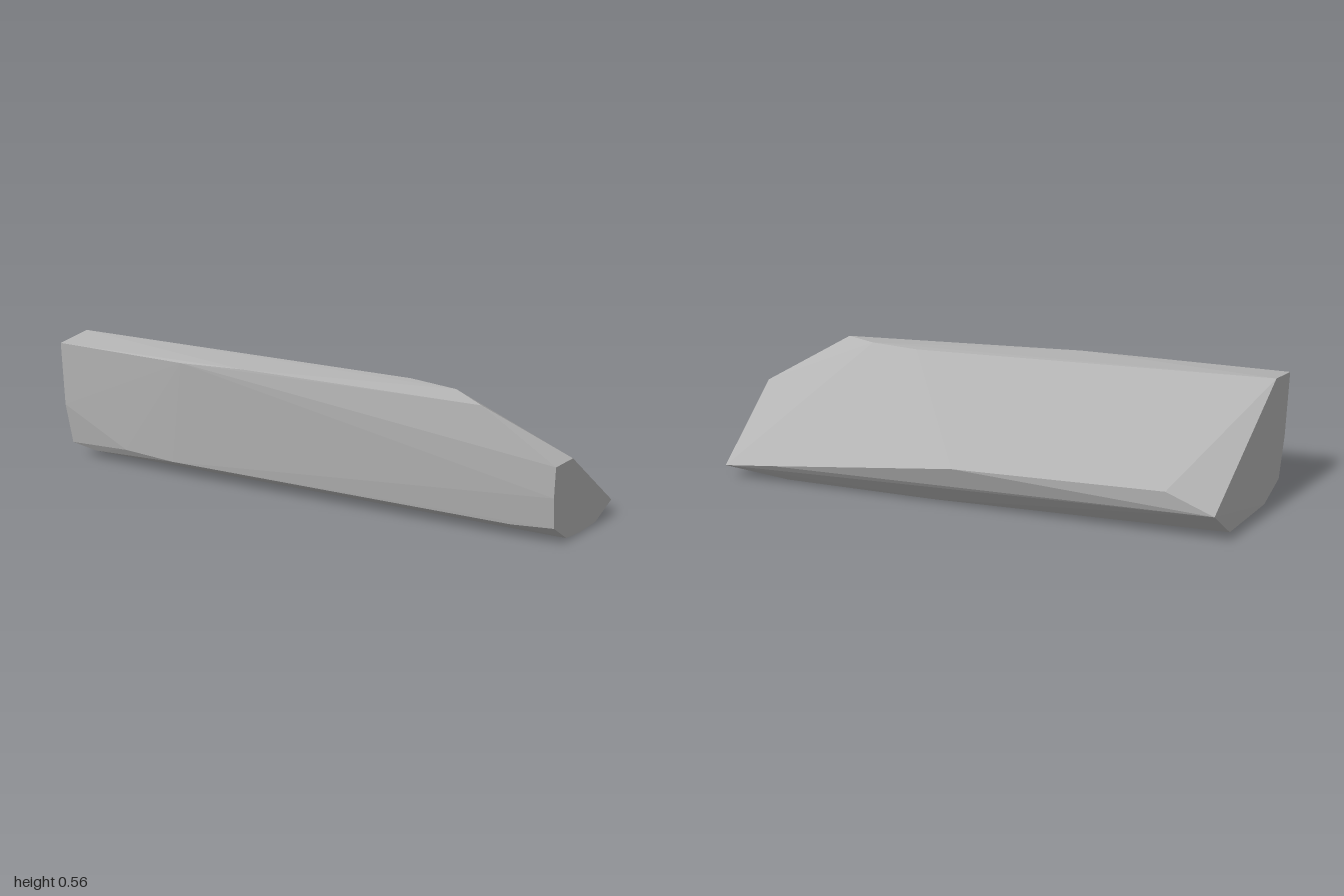
import * as THREE from 'three';
import { ConvexGeometry } from 'three/addons/geometries/ConvexGeometry.js';

export function createModel() {
  const group = new THREE.Group();
  const stone = new THREE.MeshStandardMaterial({ color: 0xb4b4b4 });
  stone.name = 'grey stone';

  // Blunt end cut at the right (+x), with a chamfered top corner
  const rightEnd = [
    [1, 0.35, -0.17], [1, 0.35, -0.28], [1, 0.065, -0.58], [1, 0.005, -0.475],
    [1, 0, -0.37], [1, 0.01, -0.275], [1, 0.085, -0.185], [1, 0.22, -0.17],
  ];
  // Blunt end cut at the left (-x)
  const leftEnd = [
    [-1, 0.535, 0.58], [-1, 0.555, 0.44], [-1, 0.255, 0.58], [-1, 0.07, 0.555],
    [-1, 0.01, 0.42], [-0.98, 0.005, 0.136], [-0.98, 0.14, -0.02],
  ];
  // Narrow top face
  const top = [
    [0.36, 0.558, -0.08], [0.56, 0.558, -0.115], [0.71, 0.545, -0.08],
    [-0.2, 0.55, 0.293], [-0.45, 0.54, 0.398],
  ];
  // Lower rim of the upright front
  const frontRim = [
    [0.84, 0.07, -0.125], [-0.52, 0.078, 0.405], [-0.73, 0.093, 0.482], [-0.9, 0.045, 0.51],
  ];
  // Lower rim of the sloping back
  const backRim = [
    [0.78, 0.1, -0.535], [0.01, 0.212, -0.342], [-0.797, 0.224, -0.08],
  ];
  // Underside outline
  const base = [
    [-0.9, 0.004, 0.43], [-0.92, 0.004, 0.116], [0.16, 0, -0.256], [0.78, 0, -0.443],
  ];

  const points = [rightEnd, leftEnd, top, frontRim, backRim, base]
    .flat()
    .map((p) => new THREE.Vector3(...p));
  const rock = new THREE.Mesh(new ConvexGeometry(points), stone);
  rock.name = 'rock';
  group.add(rock);
  return group;
}
